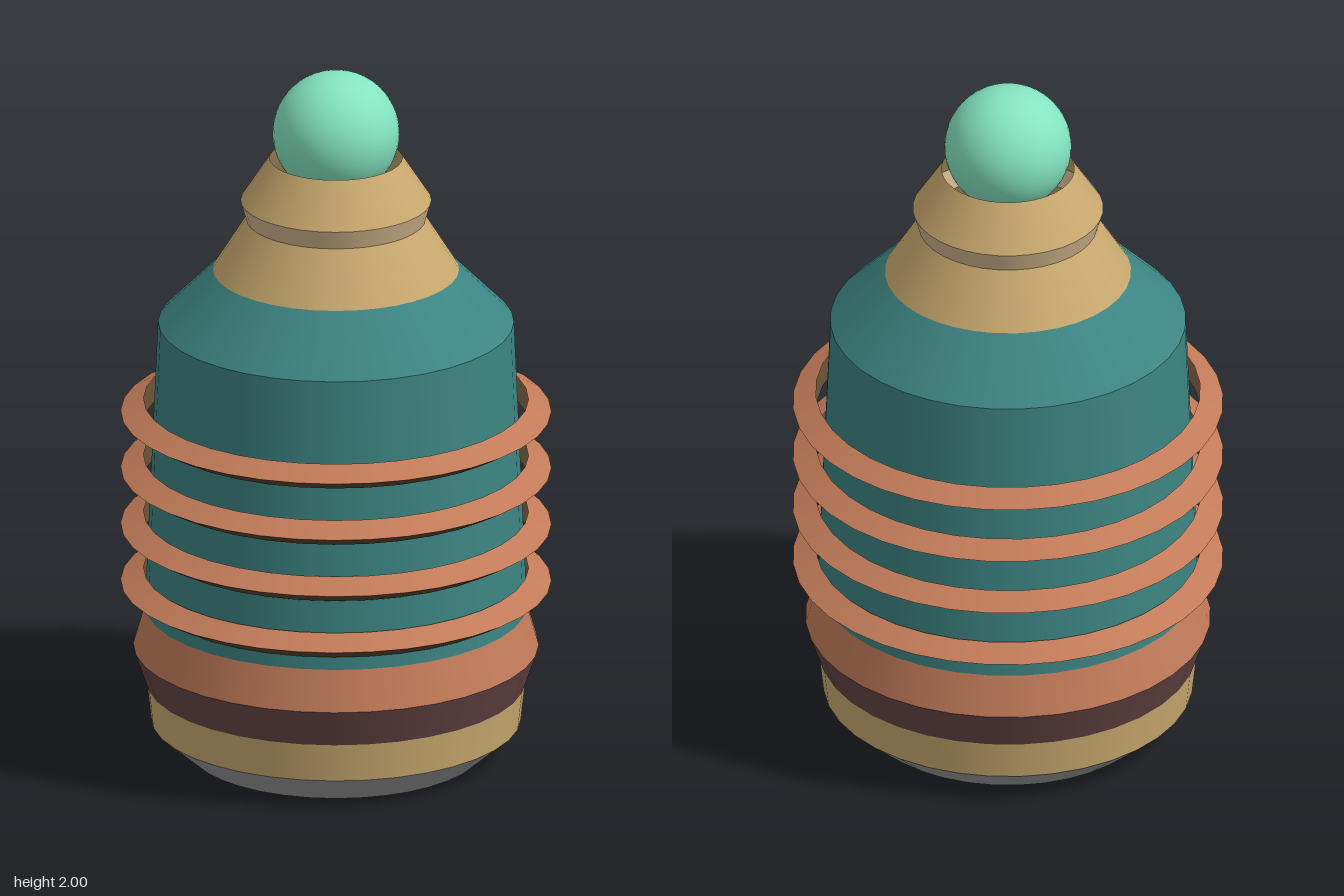
import * as THREE from 'three';

const SIDES = 36;

function paint(name, color) {
  const m = new THREE.MeshStandardMaterial({ color, side: THREE.DoubleSide });
  m.name = name;
  return m;
}

// Open conical band between two heights, smooth around and sharp at its rims
function band(name, material, r0, y0, r1, y1) {
  const points = [new THREE.Vector2(r0, y0), new THREE.Vector2(r1, y1)];
  const mesh = new THREE.Mesh(new THREE.LatheGeometry(points, SIDES), material);
  mesh.name = name;
  return mesh;
}

export function createModel() {
  const grey = paint('grey', 0x989898);
  const tan = paint('tan', 0xc8a86e);
  const paleTan = paint('pale tan', 0xd0b48c);
  const maroon = paint('maroon', 0x664444);
  const copper = paint('copper', 0xc27b59);
  const brown = paint('dark brown', 0x5c4630);
  const teal = paint('teal', 0x3c8482);
  const mint = paint('mint', 0x84e4c1);

  const model = new THREE.Group();
  model.name = 'ringedVessel';

  // Hollow shell, open at the foot and the neck
  const shell = new THREE.Group();
  shell.name = 'shell';
  const bands = [
    ['foot', grey, 0.41, 0, 0.515, 0.09],
    ['baseBand', tan, 0.515, 0.09, 0.527, 0.2],
    ['lowerFlare', maroon, 0.527, 0.2, 0.565, 0.31],
    ['upperFlare', copper, 0.565, 0.31, 0.532, 0.425],
    ['body', teal, 0.532, 0.425, 0.496, 1.265],
    ['shoulder', teal, 0.496, 1.265, 0.343, 1.42],
    ['neckCone', tan, 0.343, 1.42, 0.25, 1.57],
    ['neckLip', paleTan, 0.25, 1.57, 0.266, 1.625],
    ['neckTop', tan, 0.266, 1.625, 0.185, 1.75],
  ];
  for (const b of bands) shell.add(band(...b));
  model.add(shell);

  // Four floating sharp-edged rings
  for (let i = 0; i < 4; i++) {
    const y = 0.5 + i / 6;
    const ring = new THREE.Group();
    ring.name = 'ring' + (i + 1);
    ring.add(
      band('ringUnderside', brown, 0.536, y - 0.036, 0.6, y),
      band('ringTop', copper, 0.6, y, 0.536, y + 0.036),
    );
    model.add(ring);
  }

  // Ball sitting in the open neck
  const ball = new THREE.Mesh(new THREE.SphereGeometry(0.177, 40, 28), mint);
  ball.name = 'topBall';
  ball.position.y = 1.823;
  model.add(ball);

  return model;
}
